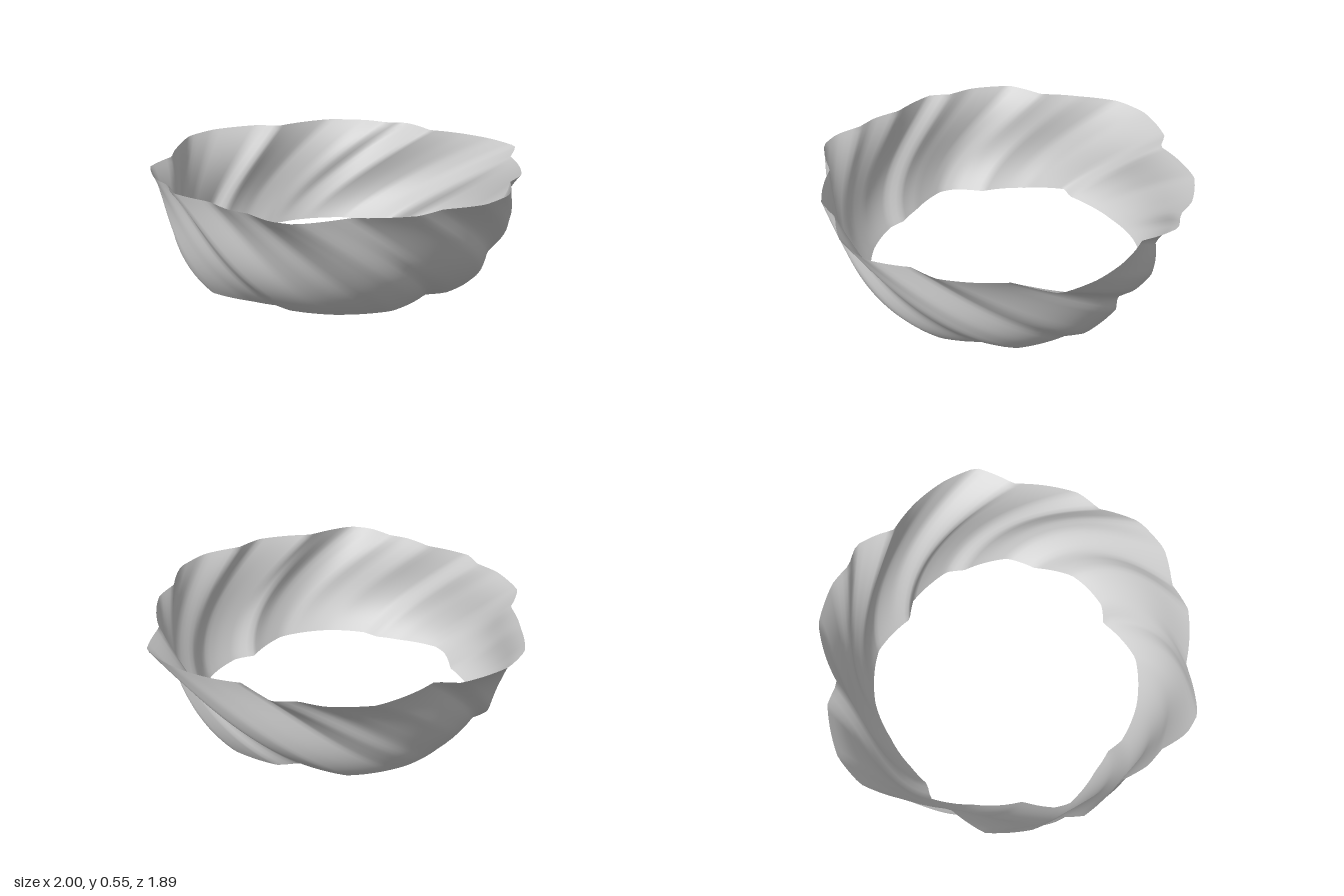
import * as THREE from 'three';

const HEIGHT = 0.545, SEGMENTS = 160, ROWS = 24;

// Rim outlines as [x, z] points, counter-clockwise seen from above, starting near the front
const TOP = [
  [0.07, 0.93], [0.18, 0.92], [0.33, 0.95], [0.44, 0.92], [0.59, 0.7], [0.82, 0.5], [0.86, 0.35],
  [0.98, 0.18], [1, -0.02], [0.9, -0.22], [0.89, -0.36], [0.68, -0.64], [0.6, -0.85],
  [0.42, -0.91], [0.23, -0.92], [0.03, -0.88], [-0.05, -0.92], [-0.17, -0.95], [-0.27, -0.89],
  [-0.4, -0.87], [-0.6, -0.75], [-0.74, -0.44], [-0.85, -0.39], [-0.99, -0.15], [-1, 0.03],
  [-0.9, 0.23], [-0.77, 0.42], [-0.73, 0.62], [-0.55, 0.77], [-0.42, 0.81], [-0.33, 0.89], [-0.08, 0.89],
];
const BOTTOM = [
  [0, 0.7], [0.13, 0.67], [0.22, 0.68], [0.42, 0.6], [0.62, 0.4], [0.64, 0.13], [0.71, 0.05],
  [0.73, -0.1], [0.72, -0.2], [0.6, -0.38], [0.53, -0.53], [0.3, -0.65], [0.22, -0.71],
  [0.1, -0.72], [-0.04, -0.71], [-0.13, -0.64], [-0.38, -0.62], [-0.45, -0.57], [-0.6, -0.4],
  [-0.67, -0.2], [-0.7, 0], [-0.7, 0.13], [-0.74, 0.2], [-0.6, 0.38], [-0.4, 0.55],
  [-0.3, 0.69], [-0.23, 0.73],
];

const TAU = Math.PI * 2;
const wrap = (a) => ((a % TAU) + TAU) % TAU;

// Radius of an outline as a function of the angle around y
function radiusOf(points) {
  const polar = points
    .map(([x, z]) => [wrap(Math.atan2(x, z)), Math.hypot(x, z)])
    .sort((p, q) => p[0] - q[0]);
  const n = polar.length;
  return (angle) => {
    const a = wrap(angle);
    let i = polar.findIndex((p) => p[0] > a);
    if (i < 0) i = n;
    const [a0, r0] = polar[(i + n - 1) % n];
    const [a1, r1] = polar[i % n];
    return r0 + (r1 - r0) * (wrap(a - a0) / wrap(a1 - a0));
  };
}

export function createModel() {
  const topRadius = radiusOf(TOP), bottomRadius = radiusOf(BOTTOM);
  const positions = [], indices = [];

  // Flared wall: the folds swing round the ring on their way down
  for (let j = 0; j <= ROWS; j++) {
    const t = j / ROWS;
    for (let i = 0; i < SEGMENTS; i++) {
      const a = (i / SEGMENTS) * TAU;
      const twist = THREE.MathUtils.degToRad(46 + 9 * Math.cos(a - 2.27));
      const angle = a + (1 - t) * twist;
      // Slight low belly, fuller towards the front left
      const bulge = t * (1 - t) * (0.28 * (1 - 1.4 * t) + 0.11 * Math.cos(angle - Math.PI / 4));
      const r = THREE.MathUtils.lerp(bottomRadius(a + twist), topRadius(a), t) + bulge;
      positions.push(r * Math.sin(angle), t * HEIGHT, r * Math.cos(angle));
    }
  }
  for (let j = 0; j < ROWS; j++) {
    for (let i = 0; i < SEGMENTS; i++) {
      const k = (i + 1) % SEGMENTS;
      const p = j * SEGMENTS + i, q = j * SEGMENTS + k;
      indices.push(p, q, q + SEGMENTS, p, q + SEGMENTS, p + SEGMENTS);
    }
  }
  const geometry = new THREE.BufferGeometry();
  geometry.setAttribute('position', new THREE.Float32BufferAttribute(positions, 3));
  geometry.setIndex(indices);
  geometry.computeVertexNormals();

  const wall = new THREE.Mesh(
    geometry,
    new THREE.MeshStandardMaterial({ color: 0xcccccc, side: THREE.DoubleSide })
  );
  wall.name = 'twistedWall';
  const group = new THREE.Group();
  group.name = 'twistedRing';
  group.add(wall);
  return group;
}
